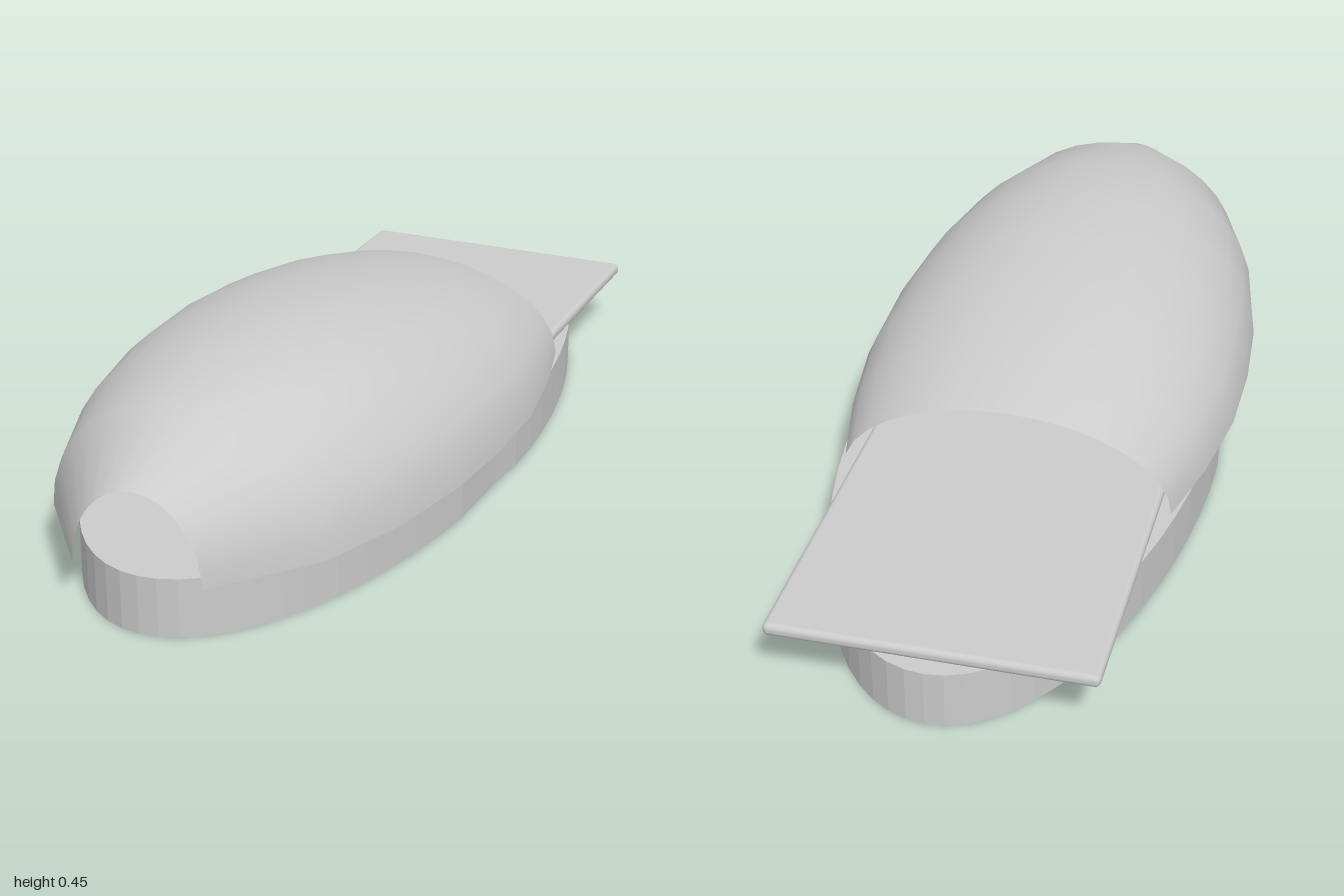
import * as THREE from 'three';
import { RoundedBoxGeometry } from 'three/addons/geometries/RoundedBoxGeometry.js';

const BASE = 0.126; // top of the sole, where the shell and board sit

// Oval sole with a faint waist on each side
function soleGeometry() {
  const points = [];
  const count = 64;
  for (let i = 0; i < count; i++) {
    const t = (i / count) * Math.PI * 2;
    const z = Math.sin(t);
    const waist = 1 - 0.03 * Math.exp(-(((z - 0.13) / 0.1) ** 2));
    points.push(new THREE.Vector2(0.407 * Math.cos(t) * waist, -z));
  }
  const geometry = new THREE.ExtrudeGeometry(new THREE.Shape(points), {
    depth: BASE, bevelEnabled: false,
  });
  geometry.rotateX(-Math.PI / 2);
  return geometry;
}

// Open vault lofted through half-ellipse ribs: [z, half width, height]
function shellGeometry() {
  const ribs = [
    [1, 0.141, 0.176], [0.8, 0.305, 0.27], [0.6, 0.38, 0.31], [0.4, 0.42, 0.321],
    [0.2, 0.437, 0.312], [0, 0.436, 0.286], [-0.2, 0.408, 0.249], [-0.38, 0.365, 0.2],
  ];
  const sides = 16;
  const positions = [];
  const indices = [];
  ribs.forEach(([z, width, height], r) => {
    for (let i = 0; i <= sides; i++) {
      const a = (i / sides) * Math.PI;
      positions.push(width * Math.cos(a), BASE + height * Math.sin(a), z);
      if (r > 0 && i < sides) {
        const q = r * (sides + 1) + i;
        const p = q - sides - 1;
        indices.push(p, q, p + 1, p + 1, q, q + 1);
      }
    }
  });
  const geometry = new THREE.BufferGeometry();
  geometry.setAttribute('position', new THREE.Float32BufferAttribute(positions, 3));
  geometry.setIndex(indices);
  geometry.computeVertexNormals();
  return geometry;
}

export function createModel() {
  const group = new THREE.Group();
  const solid = new THREE.MeshStandardMaterial({ color: 0xcccccc });
  const thin = new THREE.MeshStandardMaterial({ color: 0xcccccc, side: THREE.DoubleSide });
  const add = (name, geometry, material) => {
    const mesh = new THREE.Mesh(geometry, material);
    mesh.name = name;
    group.add(mesh);
    return mesh;
  };

  add('sole', soleGeometry(), solid);
  add('upperShell', shellGeometry(), thin);

  // Flat board running from inside the shell out over the back
  const back = -0.966;
  const front = 0.65;
  const board = add('insoleBoard', new RoundedBoxGeometry(0.68, 0.028, front - back, 3, 0.012), solid);
  board.position.set(0, BASE + 0.014, (front + back) / 2);

  return group;
}
